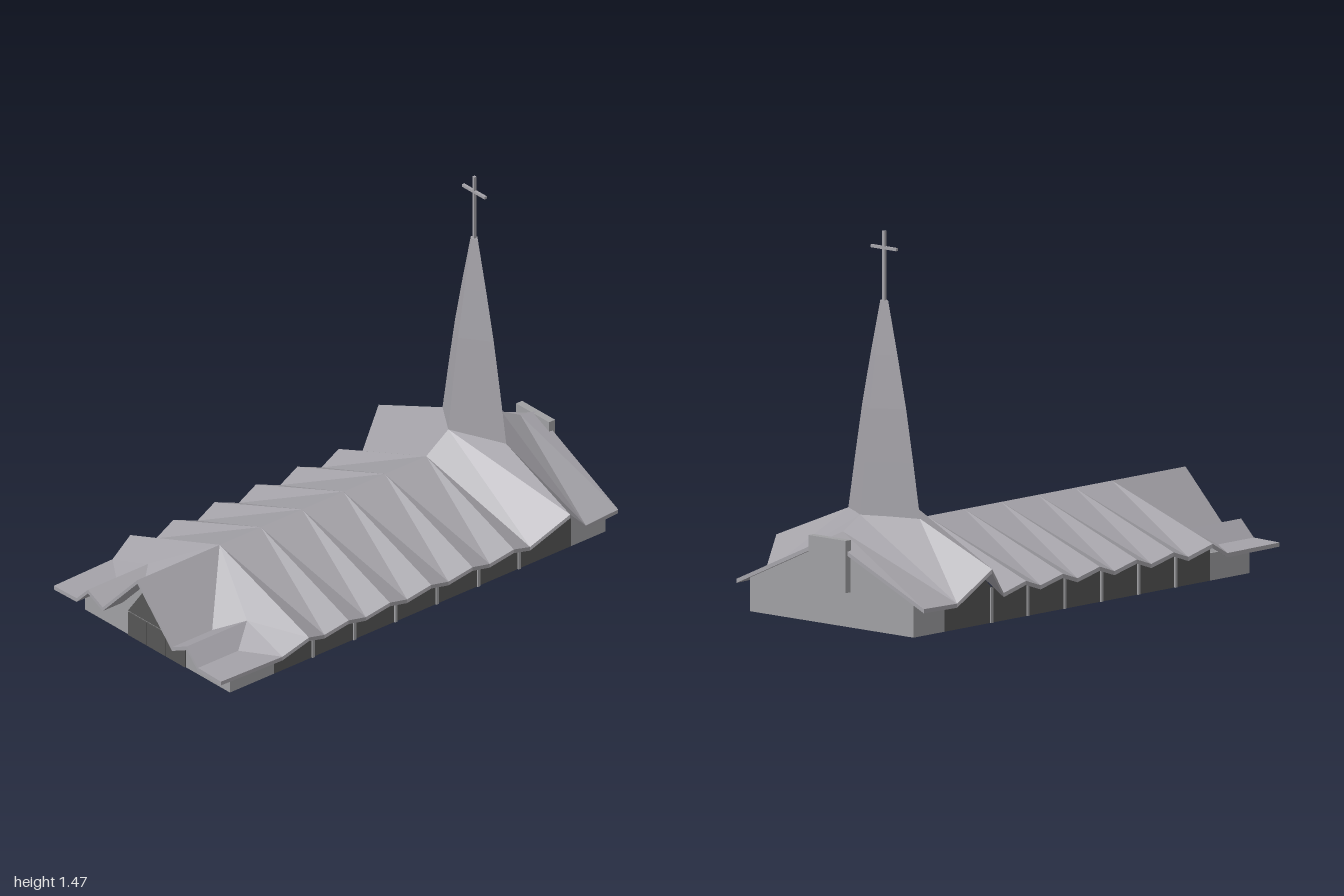
import * as THREE from 'three';

const D = THREE.DoubleSide;
const roofMat = new THREE.MeshStandardMaterial({ name: 'roof grey', color: 0xa5a3a9, side: D });
const wallMat = new THREE.MeshStandardMaterial({ name: 'wall grey', color: 0xa0a0a3, side: D });
const glassMat = new THREE.MeshStandardMaterial({ name: 'dark glass', color: 0x565656, side: D });

function add(parent, name, geo, mat, x = 0, y = 0, z = 0) {
  const m = new THREE.Mesh(geo, mat);
  m.name = name;
  m.position.set(x, y, z);
  parent.add(m);
  return m;
}
const box = (w, h, d) => new THREE.BoxGeometry(w, h, d);
const flat = pts => new THREE.ShapeGeometry(new THREE.Shape(pts.map(p => new THREE.Vector2(...p))));

// Roof slab: upper faces, a lowered soffit and a fascia along every free edge
function slab(faces, t) {
  const tris = [];
  for (const f of faces)
    for (let i = 1; i < f.length - 1; i++) tris.push([f[0], f[i], f[i + 1]]);
  const out = [], edges = new Map();
  const low = p => [p[0], p[1] - t, p[2]];
  for (let [a, b, c] of tris) {
    const ny = (b[2] - a[2]) * (c[0] - a[0]) - (b[0] - a[0]) * (c[2] - a[2]);
    if (ny < 0) [b, c] = [c, b];
    out.push(a, b, c, low(a), low(c), low(b));
    for (const [p, q] of [[a, b], [b, c], [c, a]]) {
      const k = [p.join(), q.join()].sort().join('|');
      edges.has(k) ? edges.set(k, null) : edges.set(k, [p, q]);
    }
  }
  for (const e of edges.values()) {
    if (!e) continue;
    const [p, q] = e;
    out.push(p, low(p), q, q, low(p), low(q));
  }
  const g = new THREE.BufferGeometry();
  g.setAttribute('position', new THREE.Float32BufferAttribute(out.flat(), 3));
  g.computeVertexNormals();
  return g;
}

// Half of the folded roof (x >= 0)
const STEP = 0.206, Z0 = 0.59, BAYS = 5;
function halfRoof() {
  const faces = [];
  const ridge = i => [0, 0.345, Z0 - i * STEP];
  const peak = i => [i ? 0.505 : 0.515, i ? 0.158 : 0.165, Z0 - i * STEP];
  // Nave folds
  for (let i = 0; i < BAYS; i++) {
    const v = [0.485, 0.125, Z0 - (i + 0.5) * STEP];
    faces.push([ridge(i), peak(i), v], [ridge(i), v, ridge(i + 1)], [ridge(i + 1), v, peak(i + 1)]);
  }
  // Front hip with the large and small gables
  const A = ridge(0), P = peak(0);
  const W = [0.2, 0.14, 0.8], S = [0.285, 0.18, 0.7], R = [0.35, 0.115, 0.8], E = [0.49, 0.112, 0.7];
  const front = p => [p[0], p[1], 1];
  const E1 = [0.482, 0.112, 1];
  faces.push([A, S, W], [A, P, S], [P, E, S], [E, R, S]);
  faces.push([A, front(A), front(W), W], [W, front(W), front(S), S], [S, front(S), front(R), R], [R, front(R), E1, E]);
  // Transept and rear
  const A5 = ridge(BAYS), P5 = peak(BAYS);
  const T = [0, 0.42, -0.55], C = [0.18, 0.39, -0.68], K = [0, 0.4, -0.815];
  const Q = [0.552, 0.24, -0.68], V1 = [0.483, 0.122, -0.54], V2 = [0.492, 0.118, -0.81];
  const M = [0, 0.348, -0.91], B = [0.48, 0.118, -0.982], N = [0, 0.335, -0.99];
  faces.push([A5, P5, V1], [A5, V1, T], [T, V1, Q], [T, Q, C], [C, Q, V2], [C, V2, K], [K, V2, M], [M, V2, B, N]);
  return faces;
}

export function createModel() {
  const g = new THREE.Group();
  g.name = 'church';

  const half = halfRoof();
  const mirrored = half.map(f => f.map(([x, y, z]) => [x ? -x : 0, y, z]));
  add(g, 'foldedRoof', slab([...half, ...mirrored], 0.016), roofMat);

  // Steeple: curved four-sided spire
  const profile = [[0.186, 0.375], [0.148, 0.6], [0.112, 0.8], [0.068, 1.0], [0.02, 1.204], [0, 1.204]];
  const spire = new THREE.LatheGeometry(profile.map(p => new THREE.Vector2(...p)), 4).toNonIndexed();
  spire.scale(1, 1, 0.73);
  spire.computeVertexNormals();
  add(g, 'steeple', spire, roofMat, 0, 0, -0.68);
  add(g, 'crossPost', box(0.011, 0.27, 0.011), roofMat, 0, 1.335, -0.68);
  add(g, 'crossArm', box(0.13, 0.011, 0.011), roofMat, 0, 1.405, -0.68);

  // Front wall following the gables, with its glazing
  const edge = [[0.418, 0], [0.418, 0.1], [0.35, 0.1], [0.285, 0.163], [0.2, 0.124]];
  const flip = a => a.map(([x, y]) => [-x, y]).reverse();
  add(g, 'frontWall', flat([...edge, [0, 0.328], ...flip(edge)]), wallMat, 0, 0, 0.9);
  add(g, 'frontGableGlass', flat([[-0.165, 0.106], [0.165, 0.106], [0.005, 0.322], [-0.005, 0.322]]), glassMat, 0, 0, 0.904);
  for (const x of [-0.11, 0, 0.11])
    add(g, 'doorPanel', box(0.107, 0.1, 0.006), glassMat, x, 0.051, 0.902);
  for (const s of [-1, 1])
    add(g, 'smallGableGlass', flat([[-0.045, 0.106], [0.045, 0.106], [0, 0.16]]), glassMat, s * 0.285, 0, 0.904);

  // Rear wall and raised panel
  const rear = [[0.418, 0], [0.418, 0.13]];
  const back = add(g, 'rearWall', flat([...rear, [0, 0.32], ...flip(rear)]), wallMat, 0, 0, -0.972);
  back.rotation.y = Math.PI;
  add(g, 'rearPanel', box(0.19, 0.2, 0.03), wallMat, 0, 0.235, -0.985);

  // Side walls, one dark pentagon per roof fold, posts between
  for (const s of [-1, 1]) {
    const side = new THREE.Group();
    side.name = s > 0 ? 'leftSide' : 'rightSide';
    g.add(side);
    const pane = (name, z1, z2, zp, yEdge, yPeak) => {
      // Shape x runs along -z on the left side and +z on the right side
      const m = add(side, name, flat([[-s * z1, 0], [-s * z1, yEdge], [-s * zp, yPeak], [-s * z2, yEdge], [-s * z2, 0]]), glassMat, s * 0.418);
      m.rotation.y = s * Math.PI / 2;
    };
    for (let i = 0; i <= BAYS; i++) {
      const zp = Z0 - i * STEP;
      const z1 = i ? zp + STEP / 2 : 0.68;
      const z2 = i < BAYS ? zp - STEP / 2 : -0.54;
      pane('sideWindow', z1, z2, zp, 0.136, 0.165);
      add(side, 'windowPost', box(0.012, 0.135, 0.012), wallMat, s * 0.418, 0.0675, z2);
    }
    pane('transeptWindow', -0.54, -0.8, -0.68, 0.14, 0.262);
    add(side, 'frontSideWall', box(0.01, 0.105, 0.22), wallMat, s * 0.413, 0.0525, 0.79);
    add(side, 'rearSideWall', box(0.01, 0.125, 0.172), wallMat, s * 0.413, 0.0625, -0.886);
  }
  return g;
}
